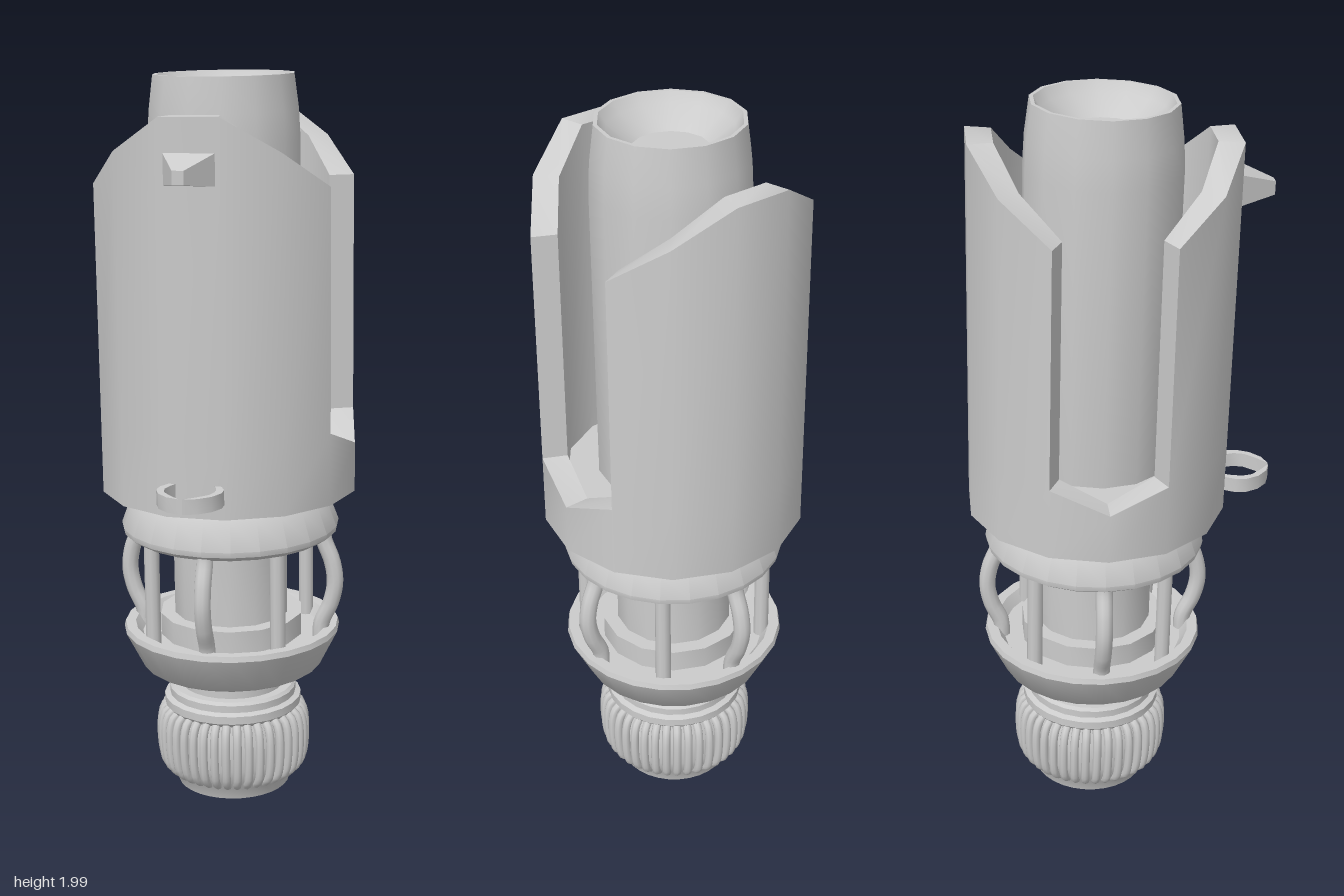
import * as THREE from 'three';
import { toCreasedNormals } from 'three/addons/utils/BufferGeometryUtils.js';

const SIDES = 14;
const grey = new THREE.MeshStandardMaterial({ color: 0xcccccc, side: THREE.DoubleSide });

function add(parent, name, geometry) {
  const mesh = new THREE.Mesh(geometry, grey);
  mesh.name = name;
  parent.add(mesh);
  return mesh;
}

// Turned part from [radius, y] pairs, listed bottom to top
function turned(points, segments = 24) {
  const profile = points.map(([r, y]) => new THREE.Vector2(r, y));
  return toCreasedNormals(new THREE.LatheGeometry(profile, segments, Math.PI / 2), 0.6);
}

// Geometry from a list of four-cornered faces, counter-clockwise from outside
function fromQuads(quads) {
  const pos = [];
  for (const [a, b, c, d] of quads) for (const p of [a, b, c, a, c, d]) pos.push(...p);
  const geo = new THREE.BufferGeometry();
  geo.setAttribute('position', new THREE.Float32BufferAttribute(pos, 3));
  return toCreasedNormals(geo, 0.6);
}

// Thick shell with a V-bottomed slot on each side and peaked front and back panels
function shroudGeometry() {
  const outer = 0.35, inner = 0.283, base = 0.885;
  const tops = [1.02, 1.72, 1.815, 1.905, 1.905, 1.815, 1.72];
  const top = i => tops[i % 7];
  const low = i => (i % 7 === 0 ? 1.02 : 1.08);
  const at = (i, r, y) => {
    const a = (i / SIDES) * Math.PI * 2;
    return [r * Math.cos(a), y, r * Math.sin(a)];
  };
  const quads = [];
  const walls = (i, j, y0, y1) => {
    quads.push([at(j, outer, y0(j)), at(i, outer, y0(i)), at(i, outer, y1(i)), at(j, outer, y1(j))]);
    quads.push([at(i, inner, y0(i)), at(j, inner, y0(j)), at(j, inner, y1(j)), at(i, inner, y1(i))]);
  };
  for (let i = 0; i < SIDES; i++) {
    const j = i + 1;
    const panel = i % 7 !== 0 && j % 7 !== 0;
    const rim = panel ? top : low;
    walls(i, j, () => base, low);
    if (panel) walls(i, j, low, top);
    quads.push([at(i, inner, rim(i)), at(j, inner, rim(j)), at(j, outer, rim(j)), at(i, outer, rim(i))]);
    quads.push([at(i, outer, base), at(j, outer, base), at(j, inner, base), at(i, inner, base)]);
    // Slot side walls
    if (i % 7 === 1) quads.push([at(i, outer, low(i)), at(i, inner, low(i)), at(i, inner, top(i)), at(i, outer, top(i))]);
    if (i % 7 === 6) quads.push([at(i, inner, low(i)), at(i, outer, low(i)), at(i, outer, top(i)), at(i, inner, top(i))]);
  }
  return fromQuads(quads);
}

// Wedge-shaped stud narrowing to a small blunt tip
function studGeometry() {
  const back = [[-0.078, 1.735, 0.32], [0.078, 1.735, 0.32], [0.078, 1.825, 0.32], [-0.078, 1.825, 0.32]];
  const tip = [[-0.015, 1.75, 0.437], [0.015, 1.75, 0.437], [0.015, 1.785, 0.437], [-0.015, 1.785, 0.437]];
  const quads = [tip];
  for (let i = 0; i < 4; i++) {
    const j = (i + 1) % 4;
    quads.push([back[i], back[j], tip[j], tip[i]]);
  }
  return fromQuads(quads);
}

// One tapered claw of the clip, lying flat
function clawGeometry(side) {
  const s = new THREE.Shape();
  s.moveTo(side * 0.068, 0.335);
  for (const [x, z] of [[0.085, 0.37], [0.086, 0.4], [0.07, 0.435], [0.04, 0.462], [0.004, 0.474],
    [0.035, 0.446], [0.06, 0.418], [0.067, 0.39], [0.06, 0.36], [0.05, 0.335]]) s.lineTo(side * x, z);
  const geo = new THREE.ExtrudeGeometry(s, { depth: 0.04, bevelEnabled: false });
  geo.rotateX(Math.PI / 2);
  geo.translate(0, 0.975, 0);
  return toCreasedNormals(geo, 0.7);
}

// Tube along [radius, y] points in the plane of the axis
function rodGeometry(points, radius, steps, radial) {
  const curve = new THREE.CatmullRomCurve3(points.map(([r, y]) => new THREE.Vector3(r, y, 0)));
  return new THREE.TubeGeometry(curve, steps, radius, radial);
}

export function createModel() {
  const model = new THREE.Group();
  model.name = 'device';
  const body = new THREE.Group();
  body.name = 'body';
  model.add(body);

  // Upper tube with a dished end
  add(body, 'upperTube', turned([[0, 0.87], [0.19, 0.87], [0.2, 1.0], [0.204, 1.82], [0.2, 1.9],
    [0.188, 1.993], [0.178, 1.993], [0.16, 1.965], [0.096, 1.92], [0, 1.92]], SIDES));

  // Slotted shroud and its floor
  add(body, 'shroud', shroudGeometry());
  add(body, 'shroudFloor', turned([[0, 0.885], [0.283, 0.885], [0.283, 1.02], [0, 1.02]], SIDES));

  // Front fittings
  add(body, 'stud', studGeometry());
  for (const side of [-1, 1]) add(body, side > 0 ? 'leftClaw' : 'rightClaw', clawGeometry(side));

  // Cage: collar, inner column and cup
  add(body, 'collar', turned([[0, 0.75], [0.275, 0.75], [0.297, 0.765], [0.3, 0.78], [0.272, 0.855],
    [0.26, 0.867], [0, 0.867]]));
  add(body, 'column', turned([[0.2, 0.43], [0.2, 0.522], [0.16, 0.522], [0.16, 0.722],
    [0.198, 0.722], [0.198, 0.76]], SIDES));
  add(body, 'cup', turned([[0, 0.367], [0.24, 0.367], [0.252, 0.375], [0.302, 0.475], [0.298, 0.49],
    [0.27, 0.49], [0.25, 0.46], [0, 0.46]]));

  // Bowed rods alternate with straight ones
  const bowed = rodGeometry([[0.255, 0.45], [0.258, 0.5], [0.284, 0.56], [0.296, 0.62],
    [0.288, 0.68], [0.265, 0.74], [0.26, 0.77]], 0.023, 20, 10);
  const straight = rodGeometry([[0.248, 0.44], [0.248, 0.77]], 0.021, 1, 10);
  for (let i = 0; i < 8; i++) {
    add(body, i % 2 ? 'straightRod' : 'bowedRod', i % 2 ? straight : bowed).rotation.y = (i * Math.PI) / 4;
  }

  // Neck and ring above the knob
  add(body, 'neck', turned([[0.145, 0.28], [0.145, 0.38]]));
  add(body, 'neckRing', turned([[0, 0.235], [0.18, 0.235], [0.193, 0.25], [0.193, 0.272], [0.178, 0.278],
    [0.178, 0.298], [0.17, 0.306], [0, 0.306]]));

  // Knob with a recessed underside
  add(body, 'knob', turned([[0, 0.07], [0.1, 0.055], [0.135, 0.02], [0.145, 0.008], [0.158, 0.012],
    [0.168, 0.045], [0.185, 0.07], [0.197, 0.11], [0.197, 0.2], [0.18, 0.245], [0, 0.245]], 32));

  // Ribs around the knob
  const rib = rodGeometry([[0.168, 0.055], [0.192, 0.075], [0.202, 0.11], [0.203, 0.2],
    [0.192, 0.23], [0.168, 0.245]], 0.012, 14, 8);
  for (let i = 0; i < 40; i++) add(body, 'knobRib', rib).rotation.y = (i / 40) * Math.PI * 2;

  // The whole body leans slightly
  body.rotation.set(0.027, 0, 0.0085);
  body.position.set(0.007, 0, -0.09);
  return model;
}
